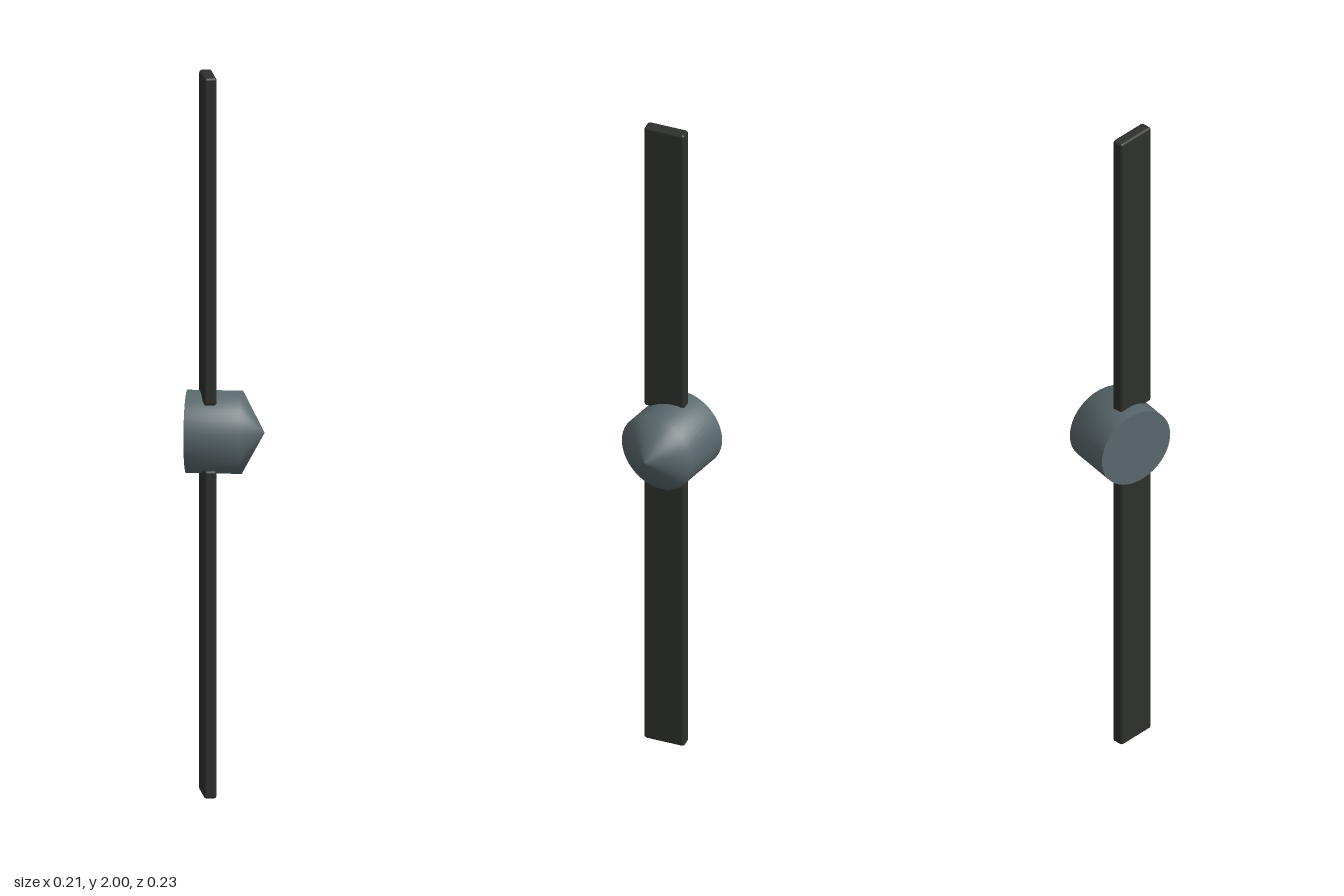
import * as THREE from 'three';
import { RoundedBoxGeometry } from 'three/addons/geometries/RoundedBoxGeometry.js';

const HUB_RADIUS = 0.113;
const BLADE_LENGTH = 0.91;

export function createModel() {
  const model = new THREE.Group();
  model.name = 'propeller';
  const hubMaterial = new THREE.MeshStandardMaterial({ color: 0x5a686c });
  const bladeMaterial = new THREE.MeshStandardMaterial({ color: 0x2d302c });

  const add = (parent, name, geometry, material) => {
    const mesh = new THREE.Mesh(geometry, material);
    mesh.name = name;
    parent.add(mesh);
    return mesh;
  };

  // Hub: a barrel running smoothly into a pointed nose along +x
  const hub = new THREE.Group();
  hub.name = 'hub';
  hub.position.y = 1;
  model.add(hub);
  const profile = [[HUB_RADIUS, -0.106], [HUB_RADIUS, 0.045], [0, 0.106]]
    .map(([r, y]) => new THREE.Vector2(r, y));
  add(hub, 'hubShell', new THREE.LatheGeometry(profile, 48).rotateZ(-Math.PI / 2), hubMaterial);

  // Flat disc closing the back of the hub
  const cap = add(hub, 'hubBackCap', new THREE.CircleGeometry(HUB_RADIUS, 48).rotateY(-Math.PI / 2), hubMaterial);
  cap.position.x = -0.106;

  // Two straight blades with softened edges, pitched about their length
  for (const [name, side] of [['upperBlade', 1], ['lowerBlade', -1]]) {
    const geometry = new RoundedBoxGeometry(0.035, BLADE_LENGTH, 0.118, 3, 0.008);
    const blade = add(model, name, geometry, bladeMaterial);
    blade.position.set(-0.046, 1 + side * (1 - BLADE_LENGTH / 2), 0.029);
    blade.rotation.y = 0.2;
  }

  return model;
}
